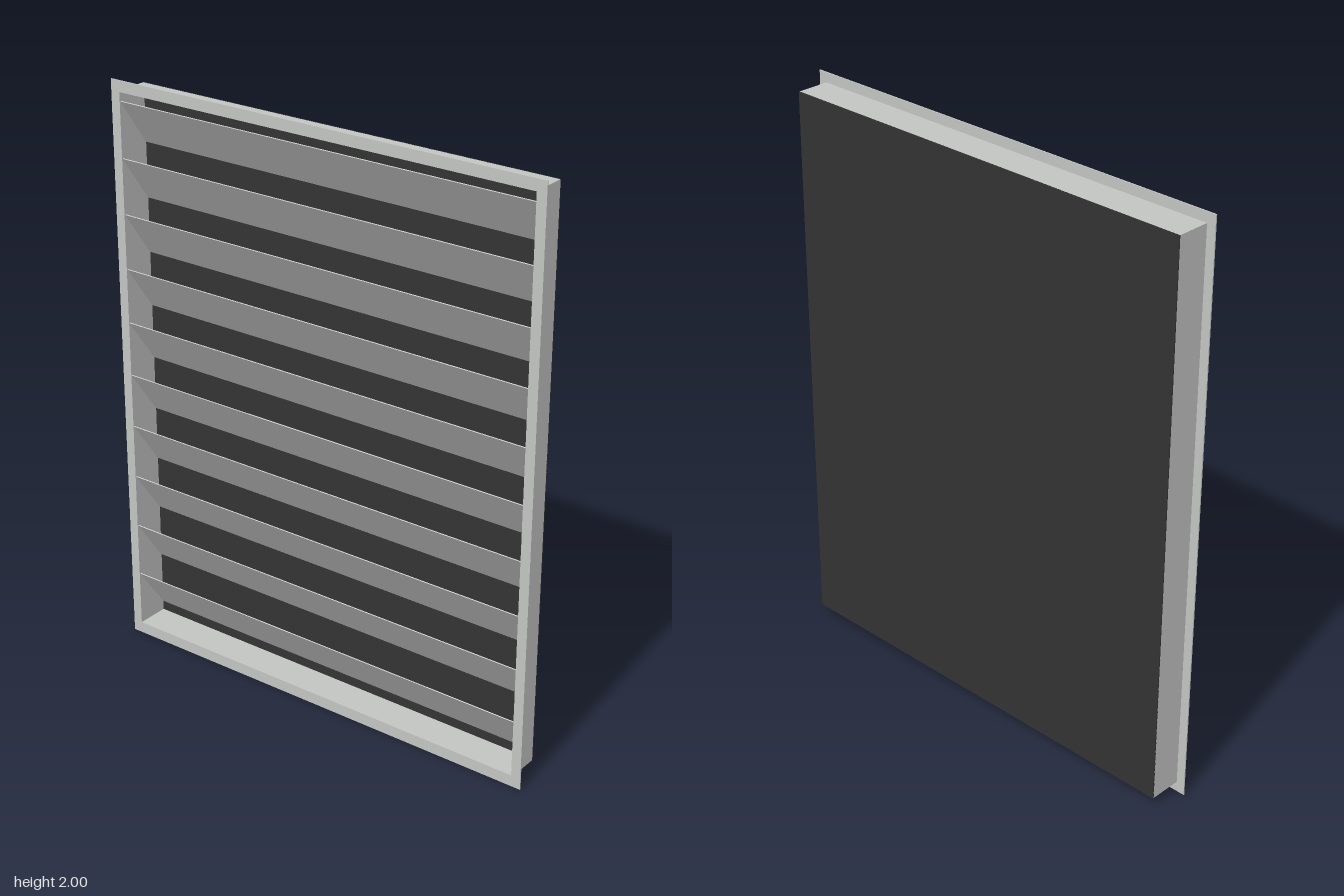
import * as THREE from 'three';

export function createModel() {
  const group = new THREE.Group();
  group.name = 'louverPanel';
  const metal = new THREE.MeshStandardMaterial({ color: 0xc3c5c3 });
  metal.name = 'light grey metal';
  const dark = new THREE.MeshStandardMaterial({ color: 0x333333 });
  dark.name = 'dark backing';

  const add = (name, geometry, material, x = 0, y = 0, z = 0) => {
    const mesh = new THREE.Mesh(geometry, material);
    mesh.name = name;
    mesh.position.set(x, y, z);
    group.add(mesh);
    return mesh;
  };

  const W = 0.775, bottom = 0.036, top = 1.966; // casing limits
  const front = 0.06, back = -0.06, t = 0.004;
  const midY = (bottom + top) / 2, height = top - bottom, depth = front - back - t;
  const midZ = (front + back) / 2 + t / 4;

  // Thin flange around the opening
  const rect = (Path, x, y0, y1) => {
    const p = new Path();
    p.moveTo(-x, y0);
    p.lineTo(x, y0);
    p.lineTo(x, y1);
    p.lineTo(-x, y1);
    p.closePath();
    return p;
  };
  const ring = rect(THREE.Shape, 0.805, 0, 2);
  ring.holes.push(rect(THREE.Path, W - t, bottom + t, top - t));
  add('flange', new THREE.ExtrudeGeometry(ring, { depth: t, bevelEnabled: false }), metal, 0, 0, front - t);

  // Casing walls
  for (const [name, s] of [['leftWall', 1], ['rightWall', -1]])
    add(name, new THREE.BoxGeometry(t, height, depth), metal, s * (W - t / 2), midY, midZ);
  for (const [name, y] of [['topWall', top - t / 2], ['bottomWall', bottom + t / 2]])
    add(name, new THREE.BoxGeometry(2 * (W - t), t, depth), metal, 0, y, midZ);

  // Dark backing sheet
  add('backing', new THREE.BoxGeometry(2 * W, height, t), dark, 0, midY, back + t / 2);

  // Sloping slats: upper edge at the front, lower edge against the backing
  const rise = 0.16, run = 0.112;
  const slat = new THREE.BoxGeometry(2 * (W - t), Math.hypot(rise, run), 0.003);
  for (let i = 0; i < 10; i++) {
    const mesh = add('slat', slat, metal, 0, 0.155 + i * 0.1885, 0);
    mesh.rotation.x = Math.atan2(run, rise);
  }
  return group;
}
